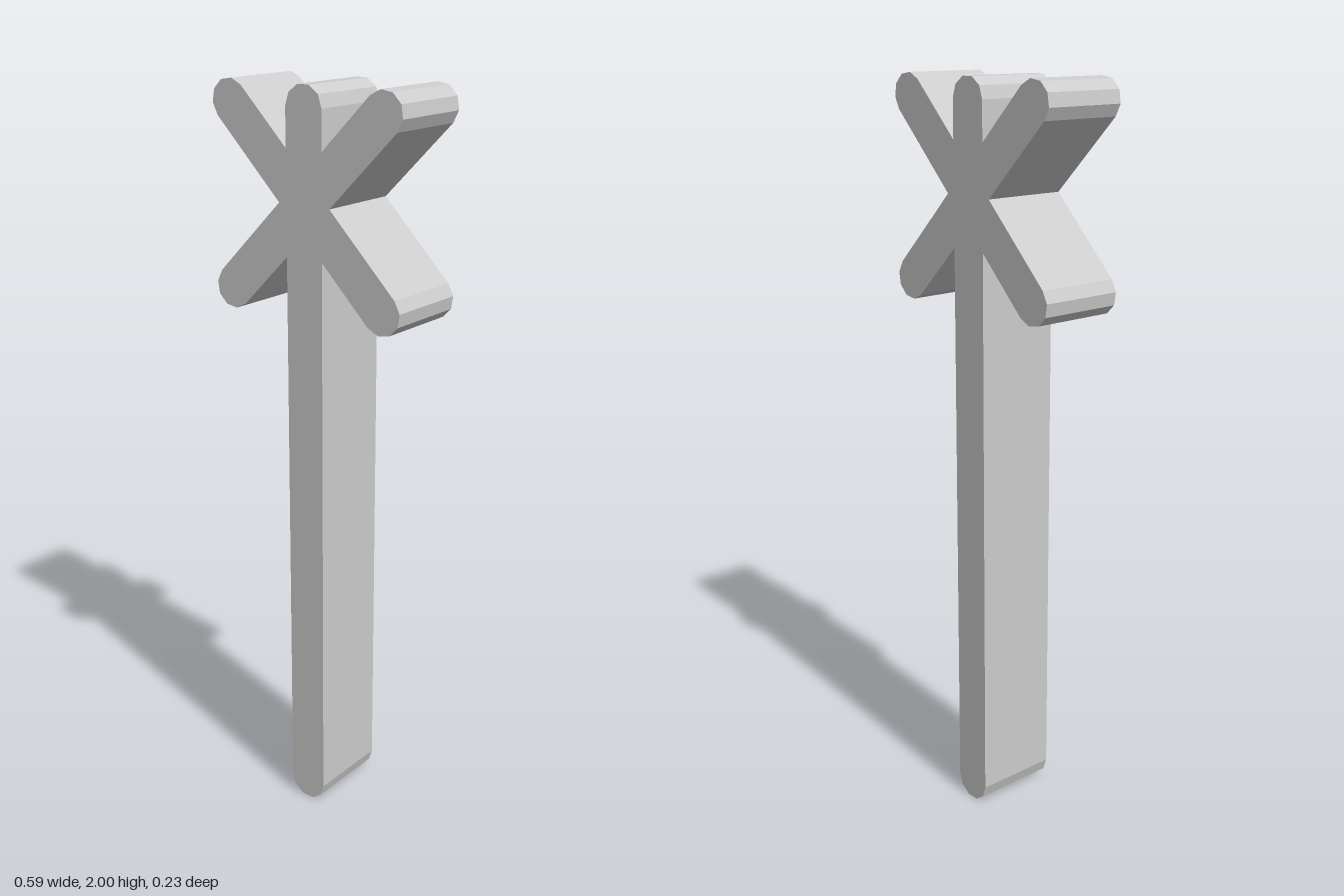
import * as THREE from 'three';

const HALF = 0.056;    // half width of every arm, also its cap radius
const CAP = 5;         // flat facets on each rounded end
const DEPTH = 0.235;
const CENTRE_Y = 1.709;

export function createModel() {
  const group = new THREE.Group();
  const grey = new THREE.MeshStandardMaterial({ color: 0xcccccc });
  grey.name = 'plainGrey';
  grey.flatShading = true;

  // arms counter-clockwise: direction in degrees, distance from hub to cap centre
  const arms = [
    [45, 0.336], [90, 0.237], [135, 0.336],
    [225, 0.336], [270, 1.656], [315, 0.336],
  ];

  const points = [];
  arms.forEach(([deg, length], i) => {
    const a = THREE.MathUtils.degToRad(deg);

    // rounded end of the arm
    for (let k = 0; k <= CAP; k++) {
      const t = a - Math.PI / 2 + (k / CAP) * Math.PI;
      points.push(new THREE.Vector2(
        length * Math.cos(a) + HALF * Math.cos(t),
        length * Math.sin(a) + HALF * Math.sin(t)));
    }

    // notch where this arm meets the next one
    const next = arms[(i + 1) % arms.length][0];
    const gap = THREE.MathUtils.degToRad((next - deg + 360) % 360) / 2;
    const r = HALF / Math.sin(gap);
    points.push(new THREE.Vector2(r * Math.cos(a + gap), r * Math.sin(a + gap)));
  });

  // star head and long stem as one extruded outline
  const geometry = new THREE.ExtrudeGeometry(new THREE.Shape(points), {
    depth: DEPTH, bevelEnabled: false,
  });
  geometry.translate(0, CENTRE_Y, -DEPTH / 2);

  const wand = new THREE.Mesh(geometry, grey);
  wand.name = 'starHeadAndStem';
  group.add(wand);
  return group;
}
